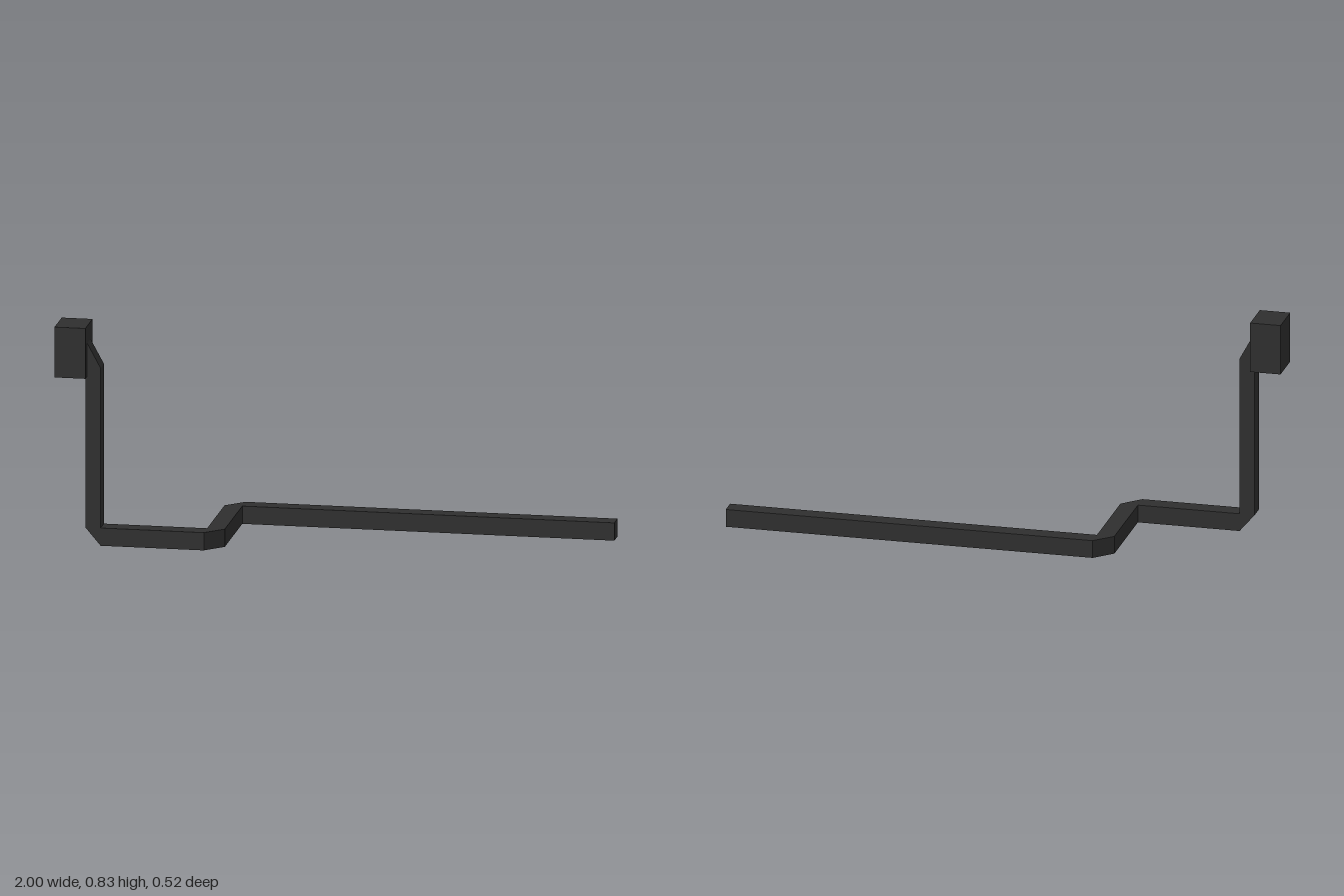
import * as THREE from 'three';

const black = new THREE.MeshStandardMaterial({ color: 0x2f2f2f });
black.name = 'matte black';

// Square sections in travel order: bottom-back, bottom-front, top-front, top-back
const alongX = (x, y0, y1, z0, z1) => [[x, y0, z0], [x, y0, z1], [x, y1, z1], [x, y1, z0]];
const alongZ = (z, y0, y1, x0, x1) => [[x0, y0, z], [x1, y0, z], [x1, y1, z], [x0, y1, z]];
const alongY = (y, x0, x1, z0, z1) => [[x0, y, z0], [x0, y, z1], [x1, y, z1], [x1, y, z0]];

// Joins the sections with flat faces, skipping those that collapse at inner corners
function sweep(rings) {
  const positions = [];
  const tri = (...pts) => {
    const [a, b, c] = pts.map((p) => new THREE.Vector3(...p));
    if (new THREE.Triangle(a, b, c).getArea() > 1e-7) positions.push(...pts.flat());
  };
  const quad = (a, b, c, d) => { tri(a, b, c); tri(a, c, d); };
  for (let i = 0; i < rings.length - 1; i++) {
    for (let j = 0; j < 4; j++) {
      const k = (j + 1) % 4;
      quad(rings[i][j], rings[i][k], rings[i + 1][k], rings[i + 1][j]);
    }
  }
  quad(...[...rings[0]].reverse());
  quad(...rings[rings.length - 1]);
  const geometry = new THREE.BufferGeometry();
  geometry.setAttribute('position', new THREE.Float32BufferAttribute(positions, 3));
  geometry.computeVertexNormals();
  return geometry;
}

export function createModel() {
  const group = new THREE.Group();
  group.name = 'bentBar';

  // Square bar with bevelled bends: long run, step forward, short run, riser
  const h = 0.067;
  const bar = new THREE.Mesh(sweep([
    alongX(1, 0, h, -0.26, -0.195),
    alongX(-0.385, 0, h, -0.26, -0.195),
    alongZ(-0.195, 0, h, -0.451, -0.385),
    alongZ(0.156, 0, h, -0.451, -0.385),
    alongX(-0.451, 0, h, 0.156, 0.223),
    alongX(-0.835, 0, h, 0.156, 0.223),
    alongY(h, -0.892, -0.835, 0.156, 0.223),
    alongY(0.67, -0.892, -0.835, 0.156, 0.223),
    alongX(-0.892, 0.67, 0.775, 0.156, 0.223),
  ]), black);
  bar.name = 'bar';
  group.add(bar);

  // Block at the top of the riser
  const block = new THREE.Mesh(new THREE.BoxGeometry(0.115, 0.19, 0.145), black);
  block.name = 'endBlock';
  block.position.set(-0.9425, 0.732, 0.1875);
  group.add(block);

  return group;
}
